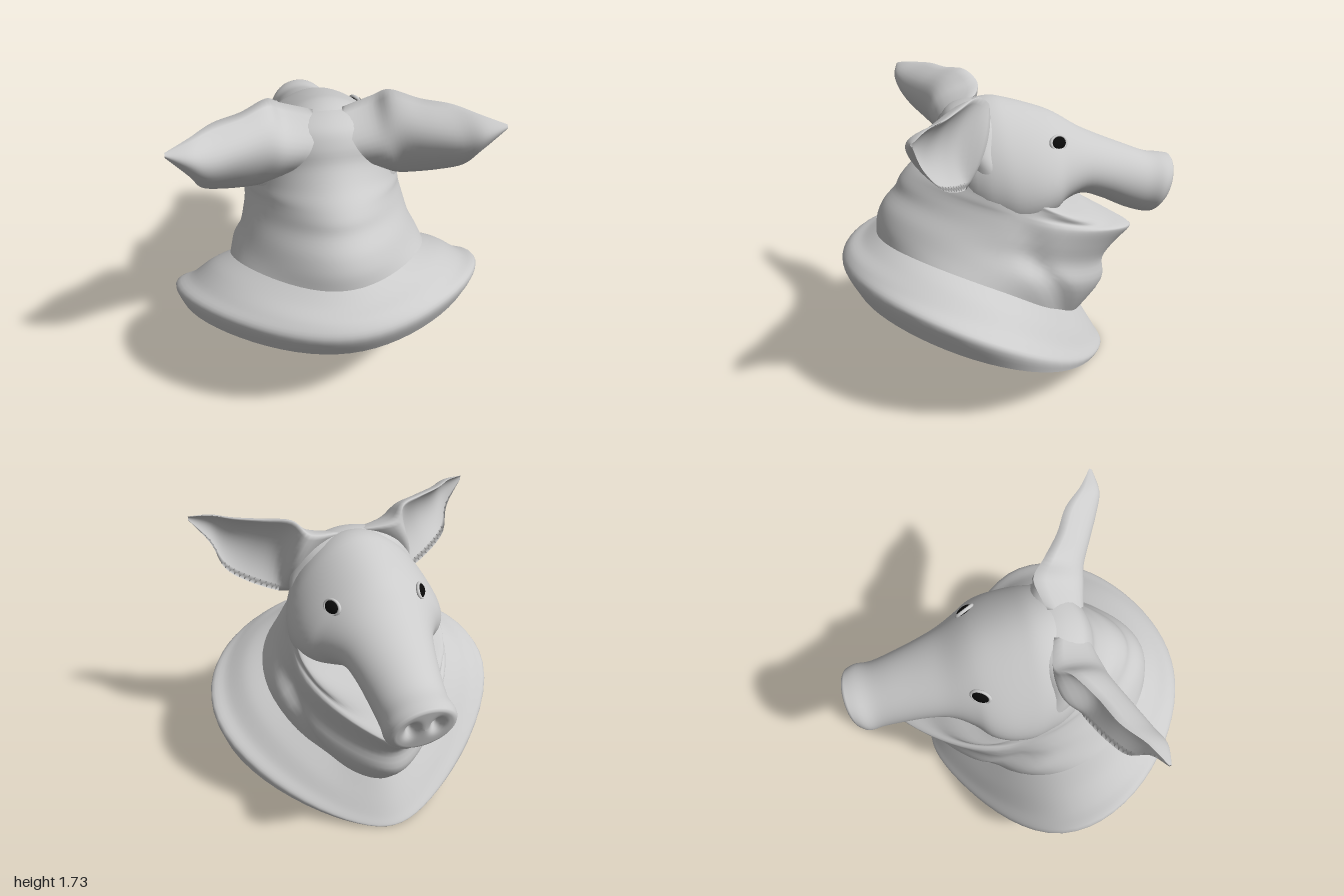
import * as THREE from 'three';

const SEG = 64;
const V = (x, y, z) => new THREE.Vector3(x, y, z);
const grey = new THREE.MeshStandardMaterial({ color: 0xcccccc, side: THREE.DoubleSide });
const black = new THREE.MeshStandardMaterial({ color: 0x0a0a0a });
const maroon = new THREE.MeshStandardMaterial({ color: 0x4c201b, side: THREE.DoubleSide });

// Smoothly interpolates rows of section parameters, n steps per span
function refine(rows, n) {
  const out = [];
  const at = i => rows[Math.min(Math.max(i, 0), rows.length - 1)];
  for (let i = 0; i < rows.length - 1; i++) {
    for (let s = 0; s < n; s++) {
      const u = s / n;
      out.push(rows[i].map((b, k) => {
        const a = at(i - 1)[k], c = at(i + 1)[k], d = at(i + 2)[k];
        return b + 0.5 * u * (c - a + u * (2 * a - 5 * b + 4 * c - d + u * (3 * (b - c) + d - a)));
      }));
    }
  }
  out.push(rows[rows.length - 1]);
  return out;
}

// Skins a list of closed rings
function loft(rings, flip = false) {
  const n = rings[0].length, index = [];
  for (let i = 0; i < rings.length - 1; i++) {
    for (let j = 0; j < n; j++) {
      const a = i * n + j, b = i * n + (j + 1) % n, c = a + n, d = b + n;
      if (flip) index.push(a, c, b, b, c, d);
      else index.push(a, b, c, b, d, c);
    }
  }
  const g = new THREE.BufferGeometry().setFromPoints(rings.flat());
  g.setIndex(index);
  g.computeVertexNormals();
  return g;
}

const around = f => Array.from({ length: SEG }, (_, j) => f(j / SEG * Math.PI * 2));

// Tilted egg-shaped ring: half width, back z/y, front z/y, side lift, front taper, groove depth and place
const bodyRing = ([w, zb, yb, zf, yf, lift, taper, groove, place]) => around(a => {
  const s = Math.sin(a), c = Math.cos(a), f = Math.max(0, -c), b = Math.max(0, c);
  const k = 1 - taper * f * f - 0.17 * b * b - groove * Math.exp(-(((c - place) / 0.13) ** 2));
  const y = (yb + yf) / 2 + (yb - yf) / 2 * c + lift * s * s * (1 - f * f);
  return V(w * s * k, y, (zb + zf) / 2 + (zb - zf) / 2 * c);
});

// Pear-shaped upright section: z, top, bottom, half width, pear, slant
const headRing = ([z, top, bottom, w, pear, slant]) => around(a => {
  const s = Math.sin(a), c = Math.cos(a);
  return V(w * s * (1 - pear * c), (top + bottom) / 2 + (top - bottom) / 2 * c, z - slant * c);
});

function add(parent, name, geometry, material = grey) {
  const m = new THREE.Mesh(geometry, material);
  m.name = name;
  parent.add(m);
  return m;
}

export function createModel() {
  const model = new THREE.Group();
  model.name = 'pigHead';

  // Flared shoulder collar
  const rim = [0.88, 0.93, 0.54, -0.6, 0, 0.14, 0.42, 0, 0];
  const neckBase = [0.575, 0.79, 0.86, -0.46, 0.27, 0.15, 0.4, 0.05, -0.7];
  const collar = [
    rim,
    [0.91, 1.0, 0.69, -0.61, 0.01, 0.2, 0.45, 0, -0.7],
    [0.81, 0.96, 0.77, -0.58, 0.06, 0.18, 0.44, 0, -0.7],
    [0.69, 0.87, 0.81, -0.53, 0.15, 0.19, 0.42, 0, -0.7],
    neckBase,
  ];
  add(model, 'shoulderCollar', loft(refine(collar, 5).map(bodyRing)));

  // Dark cut surface underneath, sagging to a straight middle line
  const cut = [1, 0.75, 0.5, 0.25, 0].map(k => {
    const r = [...rim];
    r[0] *= k;
    r[5] *= k;
    return bodyRing(r);
  });
  add(model, 'cutSurface', loft(cut, true), maroon);

  // Neck, throat and lower jaw, closing over the back of the skull
  const neck = [
    neckBase,
    [0.545, 0.78, 0.95, -0.6, 0.45, 0.08, 0.4, 0.07, -0.4],
    [0.50, 0.74, 1.04, -0.6, 0.6, 0.05, 0.36, 0.07, -0.22],
    [0.48, 0.67, 1.12, -0.68, 0.71, 0.03, 0.42, 0.05, -0.1],
    [0.465, 0.64, 1.18, -0.77, 0.79, 0.03, 0.5, 0.03, 0],
    [0.455, 0.61, 1.22, -0.73, 0.825, 0.03, 0.35, 0.02, 0],
    [0.445, 0.57, 1.26, -0.6, 0.88, 0.02, 0, 0.01, 0],
    [0.43, 0.5, 1.32, -0.45, 0.975, 0, -0.55, 0, 0],
    [0.405, 0.43, 1.41, -0.25, 1.08, 0, -0.8, 0, 0],
    [0.365, 0.40, 1.5, -0.05, 1.3, 0, 0.2, 0, 0],
    [0.28, 0.35, 1.58, 0.02, 1.5, 0, 0.2, 0, 0],
    [0.15, 0.26, 1.62, 0.08, 1.59, 0, 0, 0, 0],
    [0, 0.17, 1.63, 0.17, 1.63, 0, 0, 0, 0],
  ];
  add(model, 'neckAndJaw', loft(refine(neck, 4).map(bodyRing)));

  // Skull and cheeks tapering into the snout
  const skull = [
    [0.34, 1.5, 1.2, 0.1, 0, 0],
    [0.29, 1.575, 1.0, 0.32, 0.1, 0],
    [0.2, 1.63, 0.9, 0.39, 0.18, 0],
    [0.1, 1.645, 0.87, 0.42, 0.22, 0],
    [0, 1.625, 0.86, 0.435, 0.25, 0],
    [-0.12, 1.59, 0.91, 0.425, 0.28, 0],
    [-0.22, 1.555, 0.97, 0.39, 0.28, 0],
    [-0.3, 1.515, 1.03, 0.33, 0.22, 0],
    [-0.42, 1.44, 1.055, 0.265, 0.1, 0],
    [-0.55, 1.38, 1.01, 0.23, 0.03, 0],
    [-0.7, 1.315, 0.94, 0.205, 0, 0.01],
    [-0.82, 1.265, 0.9, 0.193, 0, 0.02],
    [-0.9, 1.25, 0.895, 0.2, 0, 0.035],
    [-0.945, 1.24, 0.92, 0.18, 0, 0.045],
  ];
  const headRings = refine(skull, 4).map(headRing);

  // Nose disc: shrinking rings with two nostril dents
  const edge = headRings[headRings.length - 1];
  const centre = V(0, 1.08, -0.95);
  for (let k = 0.93; k > -0.01; k -= 0.0775) {
    headRings.push(edge.map(p => {
      const q = p.clone().lerp(centre, 1 - Math.max(k, 0));
      const d = ((Math.abs(q.x) - 0.07) / 0.032) ** 2 + ((q.y - 1.09) / 0.05) ** 2;
      q.z += 0.06 * Math.exp(-d) - 0.01;
      return q;
    }));
  }
  add(model, 'headAndSnout', loft(headRings));

  // Ear sections from root to tip: top edge, bottom edge, back bulge, inner bulge
  const ear = [
    [0.08, 1.63, 0.18, 0.33, 1.25, 0.25, 0.06, 1.52, 0.58, 0.24, 1.46, 0.22],
    [0.25, 1.665, 0.14, 0.38, 1.25, 0.28, 0.18, 1.57, 0.63, 0.38, 1.48, 0.13],
    [0.33, 1.73, 0.21, 0.44, 1.255, 0.30, 0.31, 1.60, 0.63, 0.38, 1.50, 0.40],
    [0.47, 1.715, 0.31, 0.58, 1.30, 0.37, 0.46, 1.60, 0.68, 0.49, 1.52, 0.52],
    [0.62, 1.71, 0.39, 0.70, 1.37, 0.45, 0.62, 1.60, 0.74, 0.63, 1.55, 0.62],
    [0.74, 1.695, 0.50, 0.755, 1.50, 0.54, 0.73, 1.64, 0.71, 0.735, 1.62, 0.63],
    [0.86, 1.67, 0.58, 0.86, 1.645, 0.585, 0.855, 1.66, 0.61, 0.858, 1.66, 0.59],
  ];
  const earRing = (r, side) => {
    const [top, bottom, back, inner] = [0, 3, 6, 9].map(i => V(side * r[i], r[i + 1], r[i + 2]));
    const outer = new THREE.QuadraticBezierCurve3(top, back, bottom).getPoints(14);
    const front = new THREE.QuadraticBezierCurve3(bottom, inner, top).getPoints(14);
    return [...outer.slice(0, -1), ...front.slice(0, -1)];
  };

  for (const [side, label] of [[1, 'left'], [-1, 'right']]) {
    add(model, label + 'Ear', loft(refine(ear, 5).map(r => earRing(r, side)), side < 0));

    // Eye with a thin lid around it, turned along the face
    const eye = new THREE.Group();
    eye.name = label + 'Eye';
    eye.position.set(side * 0.255, 1.43, -0.245);
    eye.rotation.set(-0.4, side * (Math.PI / 2 + 0.5), 0, 'YXZ');
    add(eye, 'eyeball', new THREE.SphereGeometry(1, 24, 16), black).scale.set(0.05, 0.037, 0.024);
    add(eye, 'eyelid', new THREE.TorusGeometry(0.053, 0.01, 10, 32)).scale.set(1, 0.75, 1);
    model.add(eye);
  }
  return model;
}
